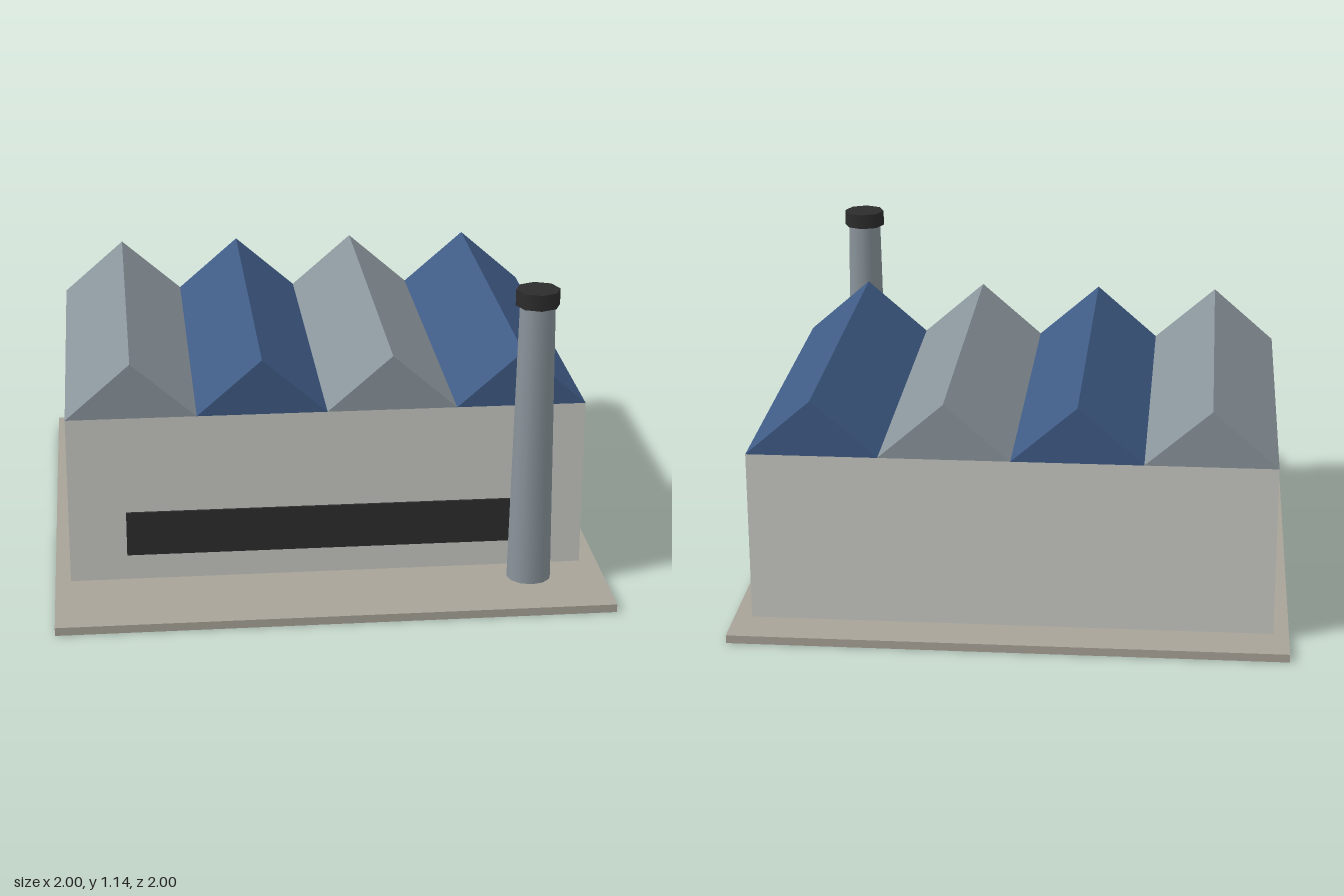
import * as THREE from 'three';

const material = (name, color) => {
  const m = new THREE.MeshStandardMaterial({ color });
  m.name = name;
  return m;
};

export function createModel() {
  const group = new THREE.Group();
  const wall = material('pale wall', 0xc8c9c4);
  const ground = material('stone ground', 0xa8a398);
  const blue = material('blue roof', 0x3f5b85);
  const grey = material('steel grey', 0x8a949b);
  const dark = material('charcoal', 0x2c2c2c);

  const add = (name, geometry, mat, x, y, z) => {
    const mesh = new THREE.Mesh(geometry, mat);
    mesh.name = name;
    mesh.position.set(x, y, z);
    group.add(mesh);
  };

  const baseTop = 0.03, eaves = 0.66, ridge = 0.205;
  const back = -0.835, depth = 1.46, pitch = 0.47, centreX = -0.004;

  // Ground slab and main hall
  add('groundSlab', new THREE.BoxGeometry(2, baseTop, 2), ground, 0, baseTop / 2, 0);
  add('hall', new THREE.BoxGeometry(pitch * 4, eaves - baseTop, depth), wall,
    centreX, (baseTop + eaves) / 2, back + depth / 2);

  // Row of gabled roofs in alternating colours
  const gable = new THREE.Shape([
    new THREE.Vector2(-pitch / 2, 0),
    new THREE.Vector2(pitch / 2, 0),
    new THREE.Vector2(0, ridge),
  ]);
  const roof = new THREE.ExtrudeGeometry(gable, { depth, bevelEnabled: false });
  for (let i = 0; i < 4; i++) {
    add(`roofGable${i + 1}`, roof, i % 2 ? blue : grey, centreX + (i - 1.5) * pitch, eaves, back);
  }

  // Long window strip on the front wall
  add('windowStrip', new THREE.BoxGeometry(1.465, 0.167, 0.009), dark, centreX, 0.212, 0.6295);

  // Tapered chimney with a dark cap
  const chimneyX = 0.727, chimneyZ = 0.727, capBottom = 1.078, capHeight = 0.058;
  add('chimneyStack', new THREE.CylinderGeometry(0.064, 0.081, capBottom - baseTop, 12), grey,
    chimneyX, (capBottom + baseTop) / 2, chimneyZ);
  add('chimneyCap', new THREE.CylinderGeometry(0.079, 0.079, capHeight, 8), dark,
    chimneyX, capBottom + capHeight / 2, chimneyZ);

  return group;
}
